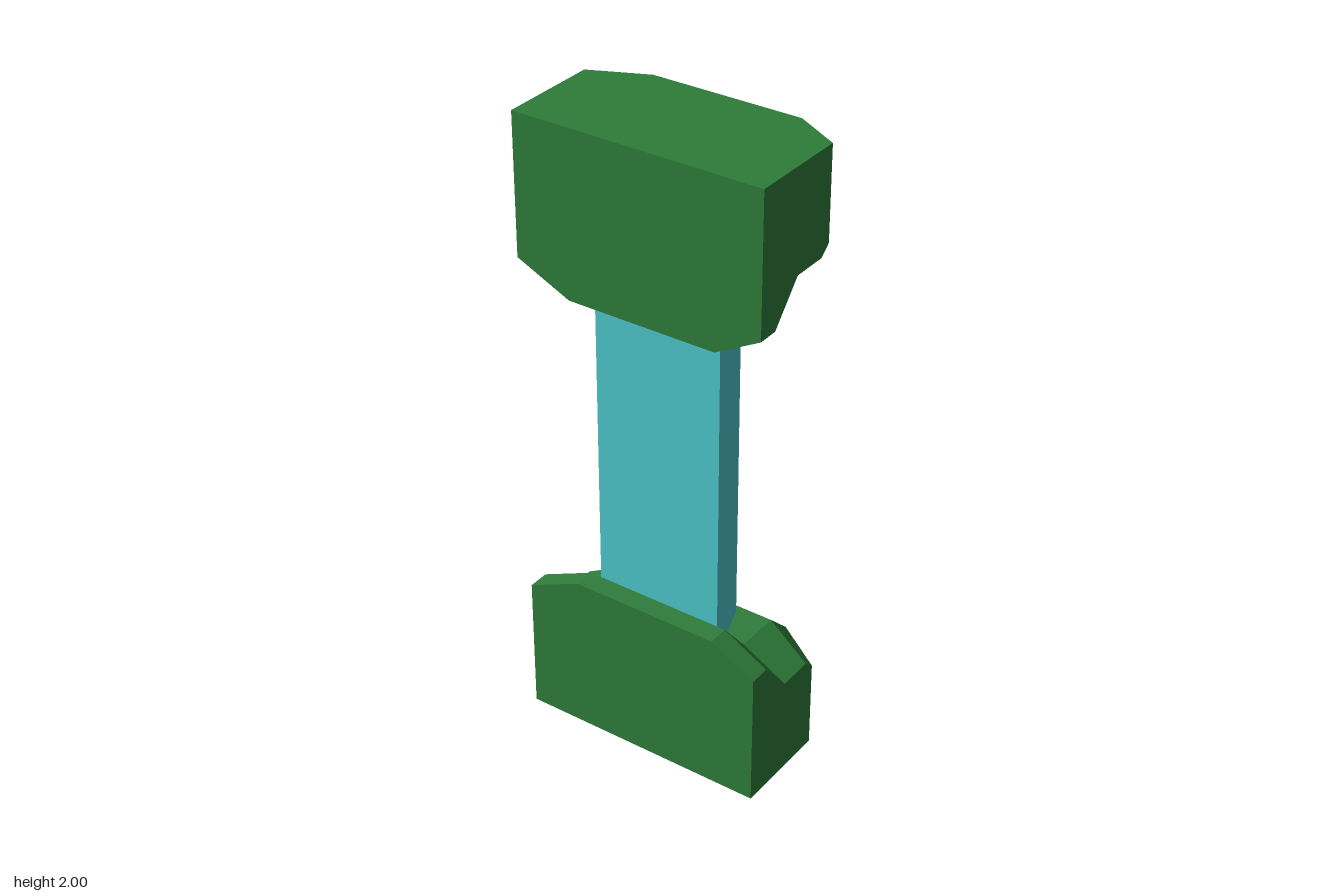
import * as THREE from 'three';

// End and middle cross-sections (x, y) of a block, counter-clockwise
const endSection = [[-0.2, 0], [0.12, 0], [0.12, 0.29], [0.085, 0.32], [-0.03, 0.32], [-0.133, 0.44], [-0.2, 0.44]];
const midSection = [[-0.2, 0], [0.2, 0], [0.2, 0.32], [0.115, 0.4], [-0.03, 0.4], [-0.133, 0.52], [-0.2, 0.52]];
const sections = [
  { z: -0.4, pts: endSection },
  { z: -0.225, pts: midSection },
  { z: 0.255, pts: midSection },
  { z: 0.4, pts: endSection },
];

// Lofts the sections along z; flip mirrors the block to hang from the top
function blockGeometry(flip) {
  const pos = [];
  const tri = (a, b, c) => {
    for (const p of flip ? [a, c, b] : [a, b, c]) pos.push(p[0], flip ? 2 - p[1] : p[1], p[2]);
  };
  const rings = sections.map(({ z, pts }) => pts.map(([x, y]) => [x, y, z]));
  const n = endSection.length;
  for (let s = 0; s < rings.length - 1; s++) {
    for (let i = 0; i < n; i++) {
      const j = (i + 1) % n;
      const [r, q] = [rings[s], rings[s + 1]];
      tri(r[i], q[j], q[i]);
      tri(r[i], r[j], q[j]);
    }
  }
  // End caps
  const faces = THREE.ShapeUtils.triangulateShape(endSection.map(([x, y]) => new THREE.Vector2(x, y)), []);
  const back = rings[0], front = rings[rings.length - 1];
  for (const [a, b, c] of faces) {
    tri(front[a], front[b], front[c]);
    tri(back[a], back[c], back[b]);
  }
  const geo = new THREE.BufferGeometry();
  geo.setAttribute('position', new THREE.Float32BufferAttribute(pos, 3));
  geo.computeVertexNormals();
  return geo;
}

// Faceted column from its plan outline (x, z), sunk into both blocks
function columnGeometry() {
  const plan = [[-0.12, 0.22], [0.09, 0.147], [0.105, 0.12], [0.105, -0.09], [0.09, -0.117], [-0.12, -0.197]];
  const shape = new THREE.Shape(plan.map(([x, z]) => new THREE.Vector2(x, -z)));
  const geo = new THREE.ExtrudeGeometry(shape, { depth: 1.4, bevelEnabled: false });
  geo.rotateX(-Math.PI / 2);
  geo.translate(0, 0.3, 0);
  return geo;
}

export function createModel() {
  const green = new THREE.MeshStandardMaterial({ color: 0x2e7d3a, flatShading: true });
  const teal = new THREE.MeshStandardMaterial({ color: 0x4dc6cc, flatShading: true });
  const group = new THREE.Group();
  const add = (name, geometry, material) => {
    const mesh = new THREE.Mesh(geometry, material);
    mesh.name = name;
    group.add(mesh);
  };
  add('lowerBlock', blockGeometry(false), green);
  add('upperBlock', blockGeometry(true), green);
  add('column', columnGeometry(), teal);
  return group;
}
